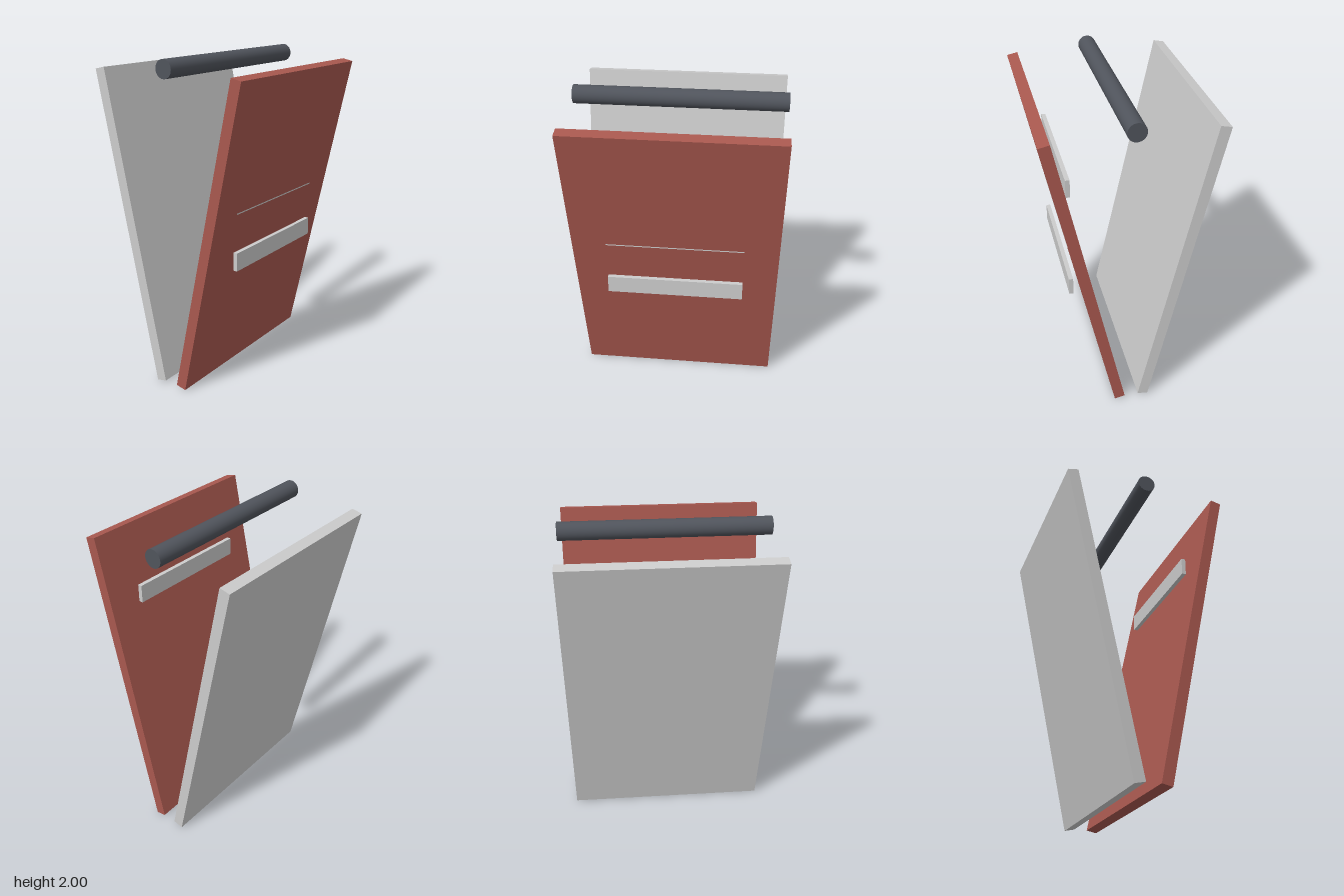
import * as THREE from 'three';

const TILT = THREE.MathUtils.degToRad(12);
const material = (color) => new THREE.MeshStandardMaterial({ color });

function addPart(group, name, geometry, mat, x, y, z) {
  const mesh = new THREE.Mesh(geometry, mat);
  mesh.name = name;
  mesh.position.set(x, y, z);
  group.add(mesh);
  return mesh;
}

export function createModel() {
  const model = new THREE.Group();
  model.name = 'leaningPanels';
  const grey = material(0xcccccc);
  const red = material(0xa8584f);
  const dark = material(0x50545c);

  // Two flat panels leaning apart in a V
  const panel = new THREE.BoxGeometry(1.26, 1.959, 0.067);
  addPart(model, 'frontPanel', panel, red, 0, 0.965, 0.2805).rotation.x = TILT;
  addPart(model, 'backPanel', panel, grey, 0, 0.965, -0.2805).rotation.x = -TILT;

  // Three upright slats; the middle one just breaks through the front panel
  const slat = new THREE.BoxGeometry(0.84, 0.112, 0.0265);
  for (let i = 0; i < 3; i++) {
    addPart(model, `slat${i + 1}`, slat, grey, 0, 0.827 + i * 0.35, 0.3362);
  }

  // Round bar across the top
  const bar = new THREE.CylinderGeometry(0.055, 0.055, 1.26, 32).rotateZ(Math.PI / 2);
  addPart(model, 'topBar', bar, dark, 0, 1.945, 0);

  return model;
}
